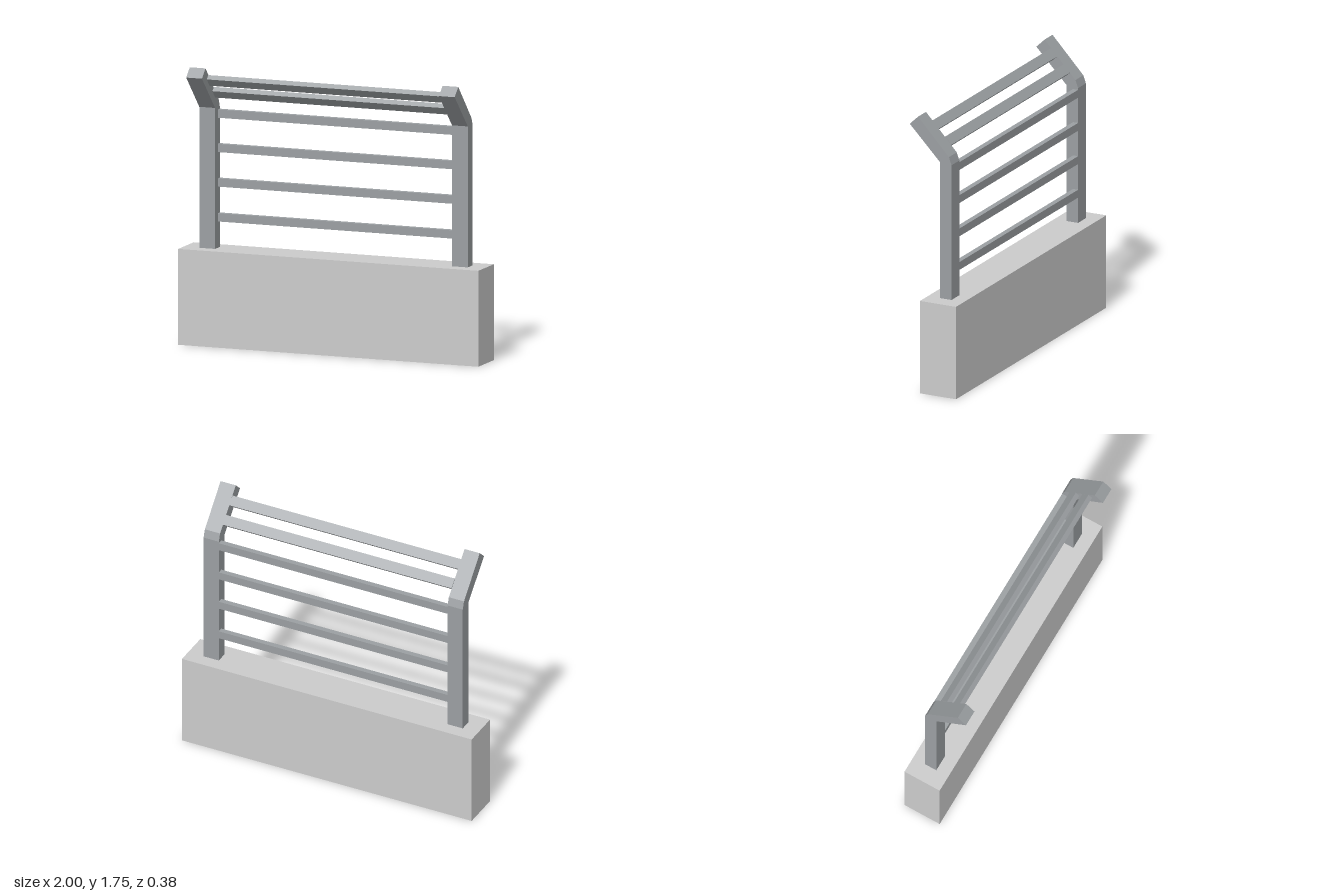
import * as THREE from 'three';

const baseMat = new THREE.MeshStandardMaterial({ color: 0xcccccc });
const metalMat = new THREE.MeshStandardMaterial({ color: 0x9b9fa2 });

export function createModel() {
  const group = new THREE.Group();

  function box(name, size, pos, mat, tilt = 0) {
    const mesh = new THREE.Mesh(new THREE.BoxGeometry(...size), mat);
    mesh.name = name;
    mesh.position.set(...pos);
    mesh.rotation.x = tilt;
    group.add(mesh);
  }

  // solid wall at the bottom
  box('baseWall', [2, 0.6, 0.25], [0, 0.3, -0.063], baseMat);

  // bent posts: side profile given as [z, y], extruded along x
  const profile = [
    [-0.023, 0.6], [-0.023, 1.482], [0.188, 1.7], [0.13, 1.755],
    [-0.084, 1.525], [-0.102, 1.475], [-0.102, 0.6],
  ];
  const shape = new THREE.Shape(profile.map(([z, y]) => new THREE.Vector2(-z, y)));
  const postWidth = 0.105;
  const postGeo = new THREE.ExtrudeGeometry(shape, { depth: postWidth, bevelEnabled: false });
  postGeo.rotateY(Math.PI / 2);
  postGeo.translate(-postWidth / 2, 0, 0);
  for (const [name, side] of [['leftPost', 1], ['rightPost', -1]]) {
    const post = new THREE.Mesh(postGeo, metalMat);
    post.name = name;
    post.position.x = side * 0.842;
    group.add(post);
  }

  // upright rails, flush with the back of the posts
  [0.79, 1.008, 1.224, 1.439].forEach((y, i) =>
    box(`rail${i + 1}`, [1.58, 0.051, 0.035], [0, y, -0.085], metalMat));

  // rails on the tilted upper arms
  [[1.582, -0.015], [1.671, 0.076]].forEach(([y, z], i) =>
    box(`tiltedRail${i + 1}`, [1.58, 0.064, 0.034], [0, y, z], metalMat, 0.75));

  return group;
}
